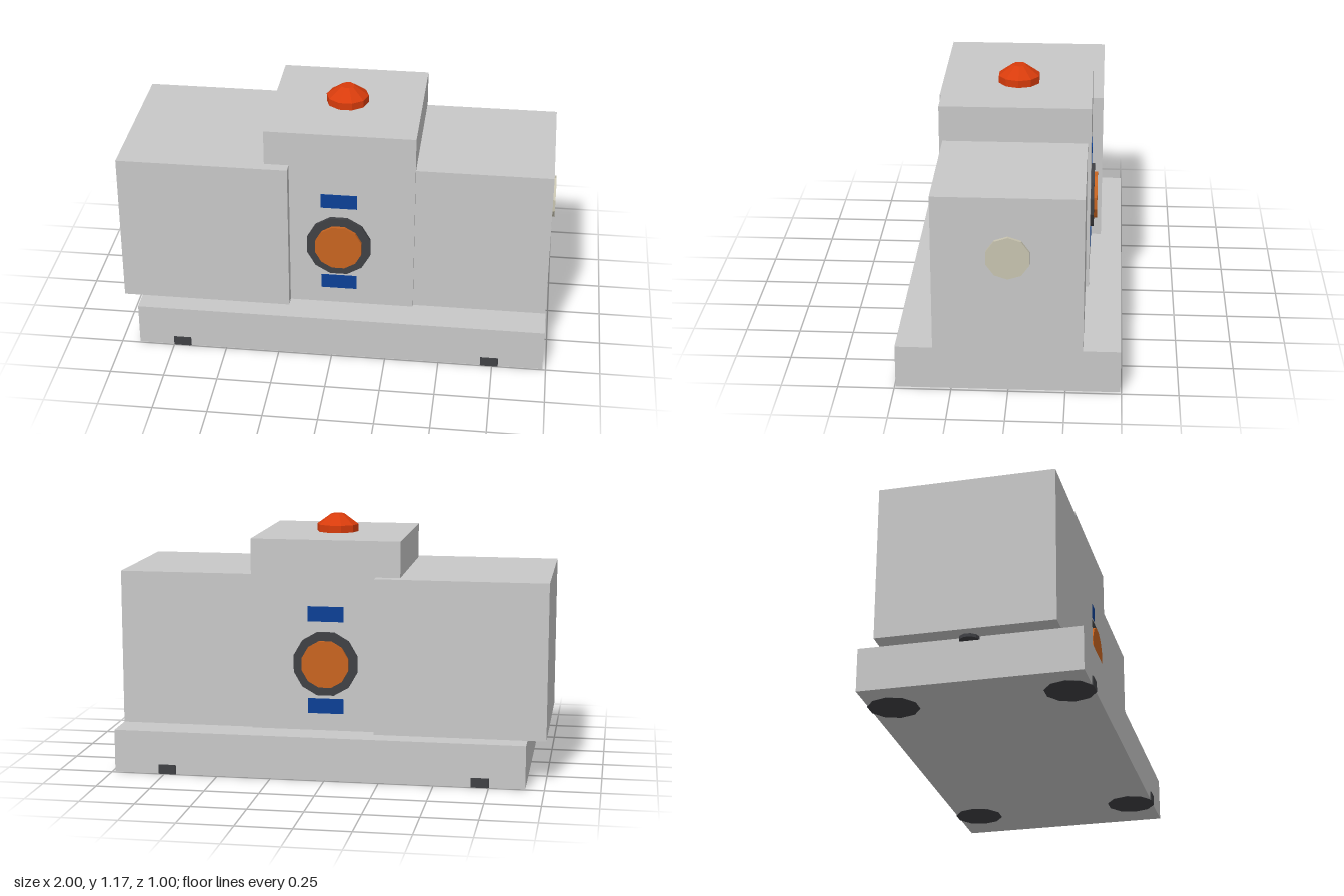
import * as THREE from 'three';

const mat = (name, color) => {
  const m = new THREE.MeshStandardMaterial({ color, flatShading: true });
  m.name = name;
  return m;
};

export function createModel() {
  const grey = mat('light grey', 0xc8c8c8);
  const dark = mat('dark grey', 0x404145);
  const orange = mat('orange', 0xc86420);
  const red = mat('red orange', 0xd83c0c);
  const blue = mat('blue', 0x0c4096);
  const cream = mat('cream', 0xc8c4b0);

  const model = new THREE.Group();
  model.name = 'machine';
  const add = (name, geometry, material, parent = model) => {
    const mesh = new THREE.Mesh(geometry, material);
    mesh.name = name;
    parent.add(mesh);
    return mesh;
  };
  // Box given by its limits in x and y and its half depth
  const block = (name, x0, x1, y0, y1, halfZ) => add(name,
    new THREE.BoxGeometry(x1 - x0, y1 - y0, halfZ * 2)
      .translate((x0 + x1) / 2, (y0 + y1) / 2, 0), grey);

  // Housing
  block('base', -0.915, 0.985, 0.001, 0.2, 0.495);
  block('wideHousing', -1, -0.212, 0.2, 0.92, 0.396);
  block('centreTower', -0.325, 0.365, 0.2, 1.086, 0.345);
  block('narrowHousing', 0.365, 0.985, 0.2, 0.92, 0.33);

  // Faceted warning lamp on the tower
  const cx = 0.017;
  const lampProfile = [[0, 1.085], [0.098, 1.085], [0.098, 1.12], [0.032, 1.168], [0, 1.168]]
    .map(([r, y]) => new THREE.Vector2(r, y));
  add('warningLamp', new THREE.LatheGeometry(lampProfile, 10).rotateY(Math.PI / 2), red)
    .position.x = cx;

  // Round port and blue bars, same on front and back
  const disc = (r, z0, z1) => new THREE.CylinderGeometry(r, r, z1 - z0, 12)
    .rotateY(Math.PI / 12).rotateX(Math.PI / 2).translate(cx, 0.515, (z0 + z1) / 2);
  for (const side of [1, -1]) {
    const port = new THREE.Group();
    port.name = side > 0 ? 'frontPort' : 'backPort';
    add('portRing', disc(0.152, 0.34, 0.361), dark, port);
    add('portLens', disc(0.111, 0.35, 0.376), orange, port);
    for (const y of [0.315, 0.745]) {
      add('blueBar', new THREE.BoxGeometry(0.166, 0.07, 0.006).translate(cx, y, 0.345), blue, port);
    }
    if (side < 0) {
      port.rotation.y = Math.PI;
      port.position.x = cx * 2;
    }
    model.add(port);
  }

  // Pale end cap
  add('endCap', new THREE.CylinderGeometry(0.098, 0.098, 0.03, 10)
    .rotateY(Math.PI / 2).rotateZ(Math.PI / 2).translate(0.985, 0.645, 0), cream);

  // Feet just showing at the edges of the base
  for (const x of [-0.71, 0.737]) {
    for (const z of [-0.39, 0.39]) {
      add('foot', new THREE.CylinderGeometry(0.115, 0.115, 0.044, 10)
        .rotateY(Math.PI / 10).translate(x, 0.022, z), dark);
    }
  }

  // Small plug under the overhang
  add('plug', new THREE.CylinderGeometry(0.045, 0.045, 0.03, 10).translate(-0.913, 0.2, 0), dark);
  return model;
}
